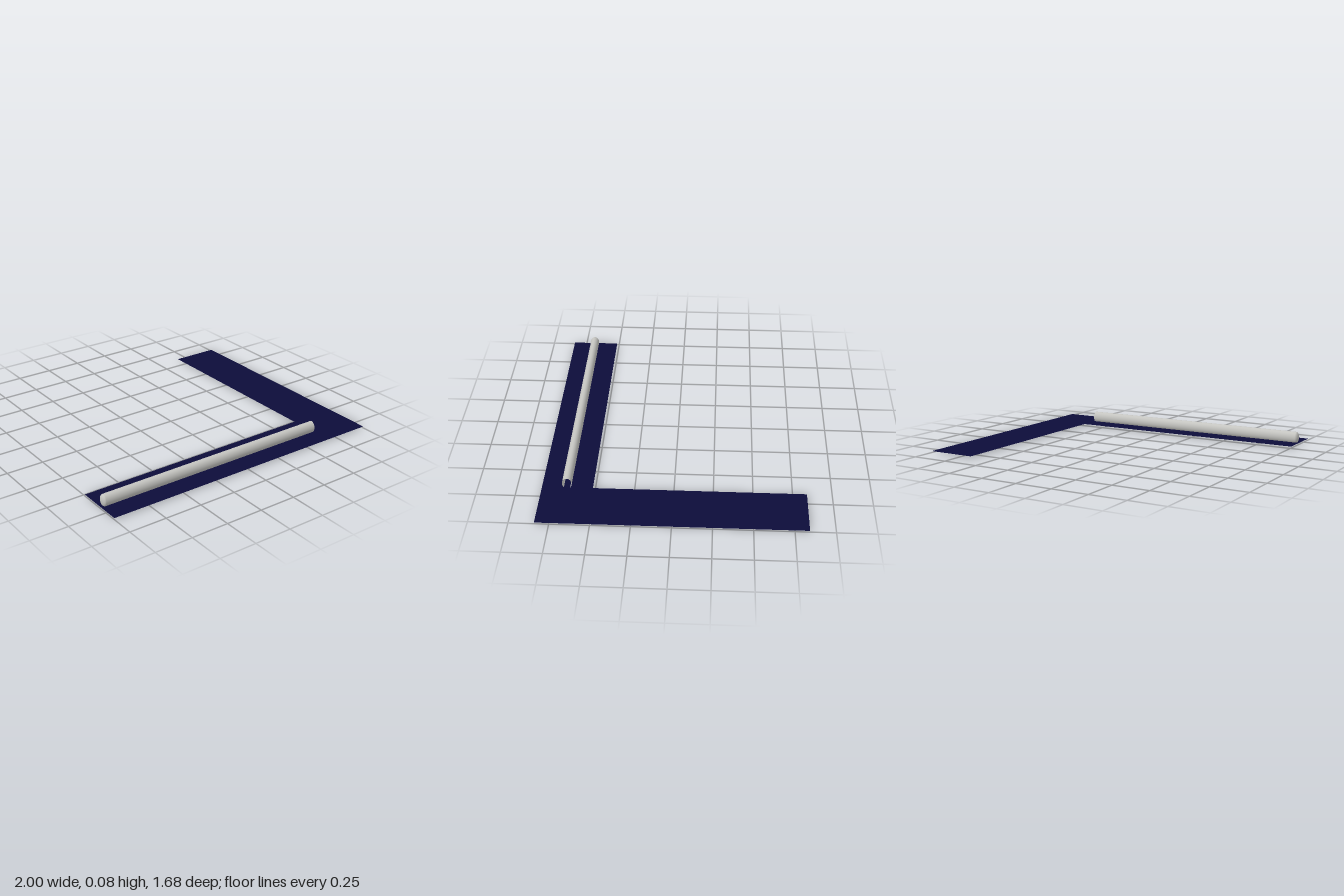
import * as THREE from 'three';

export function createModel() {
  const model = new THREE.Group();
  const navy = new THREE.MeshStandardMaterial({ color: 0x0c0c3a, side: THREE.DoubleSide });
  navy.name = 'navy';
  const silver = new THREE.MeshStandardMaterial({ color: 0xc4c4c0, side: THREE.DoubleSide });
  silver.name = 'silver';

  // Flat L-shaped sheet, drawn as (x, -z) and laid down
  const outline = [[-1, -0.84], [1, -0.84], [1, 0.84], [0.67, 0.84], [0.67, -0.515], [-1, -0.515]];
  const shape = new THREE.Shape(outline.map(([x, y]) => new THREE.Vector2(x, y)));
  const sheet = new THREE.Mesh(new THREE.ShapeGeometry(shape).rotateX(-Math.PI / 2), navy);
  sheet.name = 'baseSheet';
  sheet.position.y = 0.01;
  model.add(sheet);

  // Oval tube: shallow domed cap at -x, open at +x
  const profile = [];
  for (let i = 0; i <= 8; i++) {
    const a = (i / 8) * Math.PI / 2;
    profile.push(new THREE.Vector2(Math.sin(a), -0.97 - 0.018 * Math.cos(a)));
  }
  profile.push(new THREE.Vector2(1, -0.95), new THREE.Vector2(1, 0.67));
  const tubeGeometry = new THREE.LatheGeometry(profile, 32)
    .rotateZ(-Math.PI / 2)
    .scale(1, 0.041, 0.031);
  const tube = new THREE.Mesh(tubeGeometry, silver);
  tube.name = 'ovalTube';
  tube.position.set(0, 0.041, 0.68);
  model.add(tube);

  return model;
}
